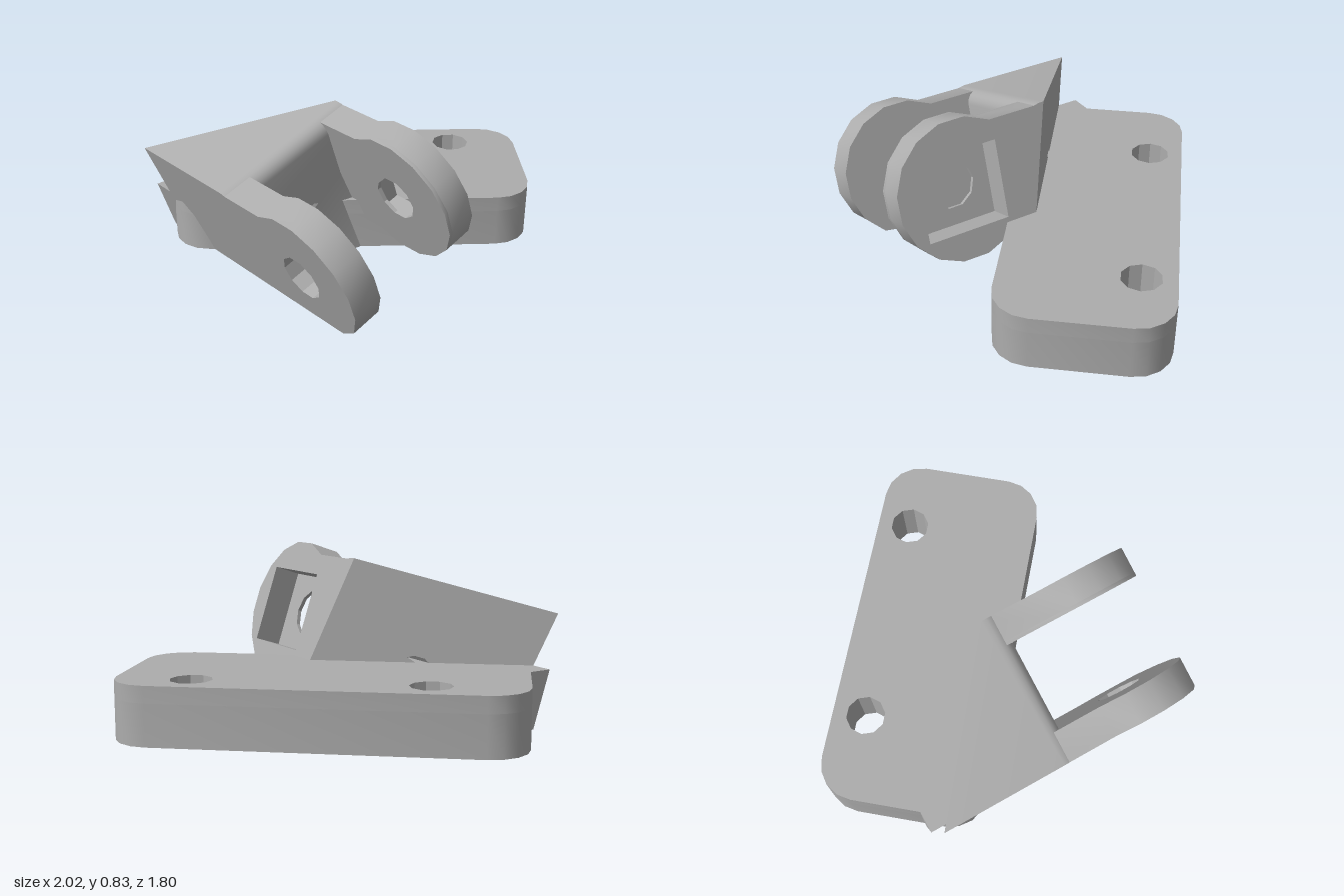
import * as THREE from 'three';
import { toCreasedNormals } from 'three/addons/utils/BufferGeometryUtils.js';

// Tilted fork frame: u runs out along the ears, w up, v along the pin
const TILT = 0.322, C = Math.cos(TILT), S = Math.sin(TILT);
const D = new THREE.Vector3(0.64, 0, 0.768);
const A = new THREE.Vector3(0.768 * C, S, -0.64 * C);
const N = new THREE.Vector3(-0.768 * S, C, 0.64 * S);
const TOP = 0.28; // plate thickness
const PIN = [0.33, 0.41];

const V = (p) => new THREE.Vector2(p[0], p[1]);
const arc = (cx, cy, r, a0, a1, n) => Array.from({ length: n + 1 }, (_, i) => {
  const a = a0 + (a1 - a0) * i / n;
  return [cx + r * Math.cos(a), cy + r * Math.sin(a)];
});
const circle = (cx, cy, r, n = 10) => arc(cx, cy, r, 0, 2 * Math.PI, n).slice(0, n);
const rect = (x0, y0, x1, y1) => [[x0, y0], [x1, y0], [x1, y1], [x0, y1]];

function extrude(points, holes, depth) {
  const shape = new THREE.Shape(points.map(V));
  shape.holes = holes.map((h) => new THREE.Path(h.map(V)));
  return new THREE.ExtrudeGeometry(shape, { depth, bevelEnabled: false });
}

// Trim a fork part to the ground and to the upright back plane (or to the plate top)
function place(geo, low = false) {
  const p = geo.attributes.position;
  for (let i = 0; i < p.count; i++) {
    const v = -p.getZ(i);
    let u = p.getX(i), w = Math.max(p.getY(i), -v * S / C);
    if (low) w = Math.min(w, (TOP - v * S) / C);
    else u = Math.max(u, (-0.2 - v * A.z - w * N.z) / D.z);
    p.setXY(i, u, w);
  }
  geo.applyMatrix4(new THREE.Matrix4().makeBasis(D, N, A.clone().negate()));
  return geo;
}

// Profile in (u, w) swept from v0 to v1
const slab = (points, holes, v0, v1, low) =>
  place(extrude(points, holes, v1 - v0).translate(0, 0, -v1), low);

export function createModel() {
  const group = new THREE.Group();
  const grey = new THREE.MeshStandardMaterial({ color: 0xadadad });
  grey.name = 'grey';
  const add = (name, geo) => {
    const mesh = new THREE.Mesh(toCreasedNormals(geo, 0.6), grey);
    mesh.name = name;
    group.add(mesh);
  };

  // Mounting plate in two layers; the lower one has the slanted nut pocket
  const r = 0.19, H = Math.PI / 2;
  const outline = [[1 - r, 0.91 - r], [-0.89 + r, 0.91 - r], [-0.89 + r, 0.07 + r], [1 - r, 0.07 + r]]
    .flatMap(([x, y], i) => arc(x, y, r, i * H, (i + 1) * H, 4));
  const bolts = [-0.45, 0.64].map((x) => circle(x, 0.74, 0.1));
  const pocket = rect(-0.9, -0.18, -0.6, 0).map(([u, v]) => [0.64 * u + 0.768 * v, -0.768 * u + 0.64 * v]);
  const layer = (holes, y0, y1) => extrude(outline, holes, y1 - y0).rotateX(-H).translate(0, y0, 0);
  add('plateLower', layer([...bolts, pocket], 0, 0.2));
  add('plateUpper', layer(bolts, 0.2, TOP));

  // Fork ears: round ends on straight arms
  const ear = [[-1.2, 0.11], ...arc(...PIN, 0.355, -2.147, 2.147, 11), [-1.2, 0.708]];
  const pinHole = circle(...PIN, 0.122);
  add('rightEar', slab(ear, [pinHole], -0.45, -0.287));
  add('leftEarInner', slab(ear, [pinHole], 0.187, 0.207));
  add('leftEarOuter', slab(ear, [rect(0.125, 0.205, 0.56, 0.605)], 0.207, 0.347));

  // Sloping body with a rounded front edge
  const body = [[-1.2, 0.45], [-0.08, 0.45], ...arc(-0.15, 0.645, 0.07, 0, H, 4), [-1.2, 0.715]];
  add('bodyTop', slab(body, [], -0.45, 0.347));

  // Lower web with the screw hole between the ears
  const web = extrude(rect(-0.45, -0.3, 0.347, 0.45), [circle(-0.04, 0.27, 0.07)], 1.12);
  add('bodyWeb', place(web.rotateY(H).translate(-1.2, 0, 0)));

  // Low heel that juts from the plate's back corner
  add('heel', slab(rect(-0.85, -0.5, -0.3, 1), [], -0.45, -0.25, true));

  return group;
}
